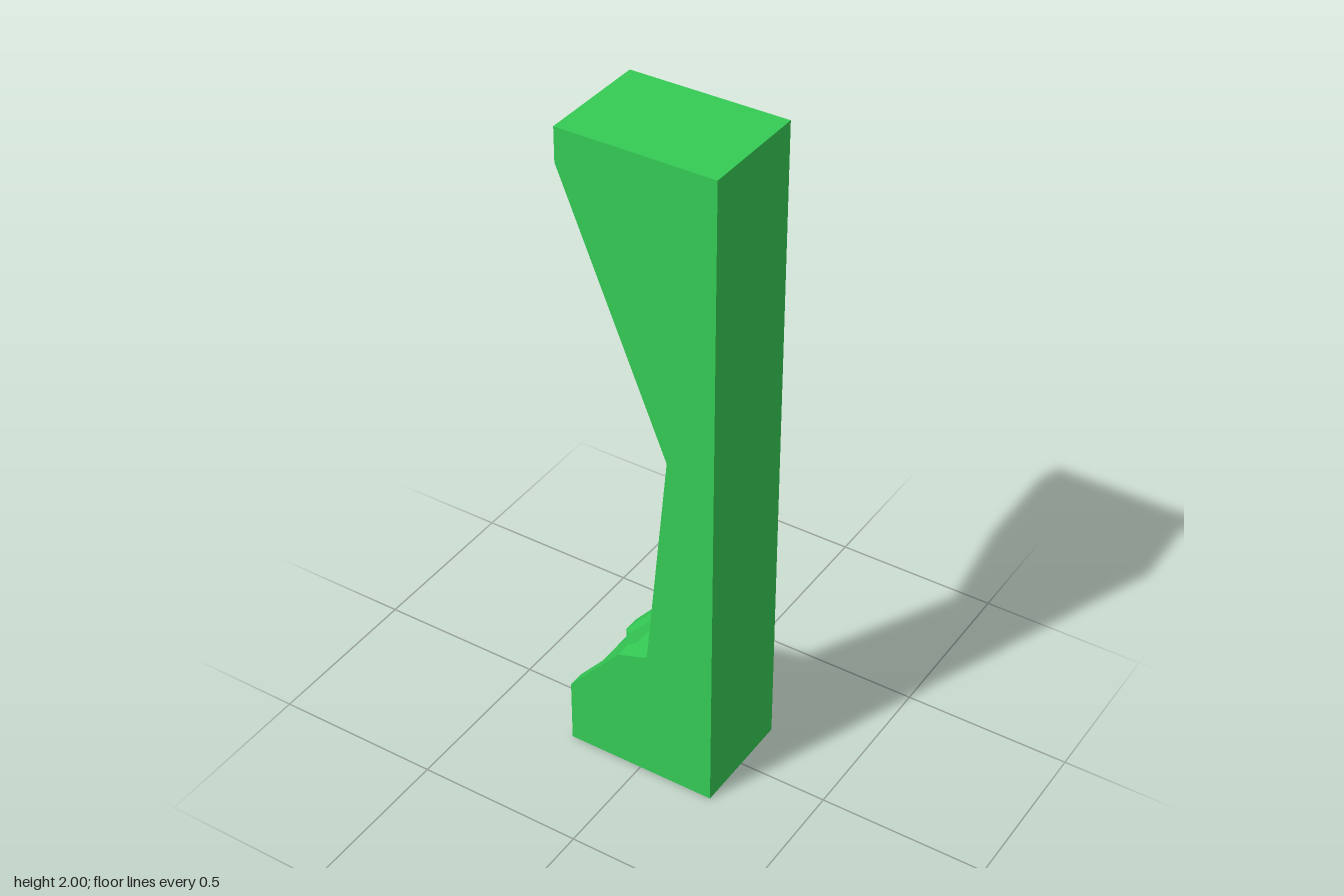
import * as THREE from 'three';

const HALF_Z = 0.166;
const DEPTH = 0.015; // panel recess
const BEVEL = 0.01;

const vec = (x, y) => new THREE.Vector2(x, y);
const inward = (a, b) => { const d = b.clone().sub(a).normalize(); return vec(-d.y, d.x); };

// Recessed panel along a path: ends drawn in by "inset", floor sunk by "depth"
function panel(path, depth, inset) {
  const p = path.map(([x, y]) => vec(x, y));
  const n = p.length - 1;
  const first = p[1].clone().sub(p[0]).normalize();
  const last = p[n - 1].clone().sub(p[n]).normalize();
  const along = (o, d, s) => o.clone().addScaledVector(d, s);
  const out = [along(p[0], first, inset)];
  out.push(along(p[0], first, inset + BEVEL).addScaledVector(inward(p[0], p[1]), depth));
  for (let i = 1; i < n; i++) {
    const a = inward(p[i - 1], p[i]), b = inward(p[i], p[i + 1]);
    out.push(p[i].clone().addScaledVector(a.clone().add(b), depth / (1 + a.dot(b))));
  }
  out.push(along(p[n], last, inset + BEVEL).addScaledVector(inward(p[n - 1], p[n]), depth));
  out.push(along(p[n], last, inset));
  return out;
}

// Outline of the pillar, counterclockwise seen from the front
function outline(depth, inset) {
  return [
    vec(0.232, 0), vec(0.232, 2), vec(-0.232, 2), vec(-0.232, 1.9),
    ...panel([[-0.2115, 1.85], [0.0695, 1.165]], depth, inset), // upper slope
    vec(0.09, 1.115),
    ...panel([[0.0838, 1.05], [0.0302, 0.485]], depth, inset), // waist
    vec(0.025, 0.43), vec(0.018, 0.42),
    ...panel([[-0.035, 0.402], [-0.07, 0.39], [-0.232, 0.2], [-0.232, 0.05]], depth, inset), // foot
    vec(-0.232, 0),
  ];
}

export function createModel() {
  const group = new THREE.Group();

  // Cross-sections from the middle outwards: [z, recess depth, end inset for rounded corners]
  const half = [[0.08, DEPTH, 0], [0.096, DEPTH, 0.005], [0.107, DEPTH, 0.018], [0.115, 0, 0.02], [HALF_Z, 0, 0.02]];
  const layers = [...half.map(([z, d, s]) => [-z, d, s]).reverse(), ...half];
  const rings = layers.map(([z, d, s]) => outline(d, s).map(p => [p.x, p.y, z]));
  const count = rings[0].length;
  const pos = [];
  const tri = (a, b, c) => pos.push(...a, ...b, ...c);

  // Skin between the sections
  for (let j = 0; j < rings.length - 1; j++) {
    for (let i = 0; i < count; i++) {
      const k = (i + 1) % count;
      tri(rings[j][i], rings[j][k], rings[j + 1][k]);
      tri(rings[j][i], rings[j + 1][k], rings[j + 1][i]);
    }
  }
  // Flat front and back
  const back = rings[0], front = rings[rings.length - 1];
  for (const [a, b, c] of THREE.ShapeUtils.triangulateShape(outline(0, 0.02), [])) {
    tri(front[a], front[b], front[c]);
    tri(back[c], back[b], back[a]);
  }

  const geometry = new THREE.BufferGeometry();
  geometry.setAttribute('position', new THREE.Float32BufferAttribute(pos, 3));
  geometry.computeVertexNormals();
  const pillar = new THREE.Mesh(geometry, new THREE.MeshStandardMaterial({ color: 0x35cc55 }));
  pillar.name = 'panelledPillar';
  group.add(pillar);
  return group;
}
